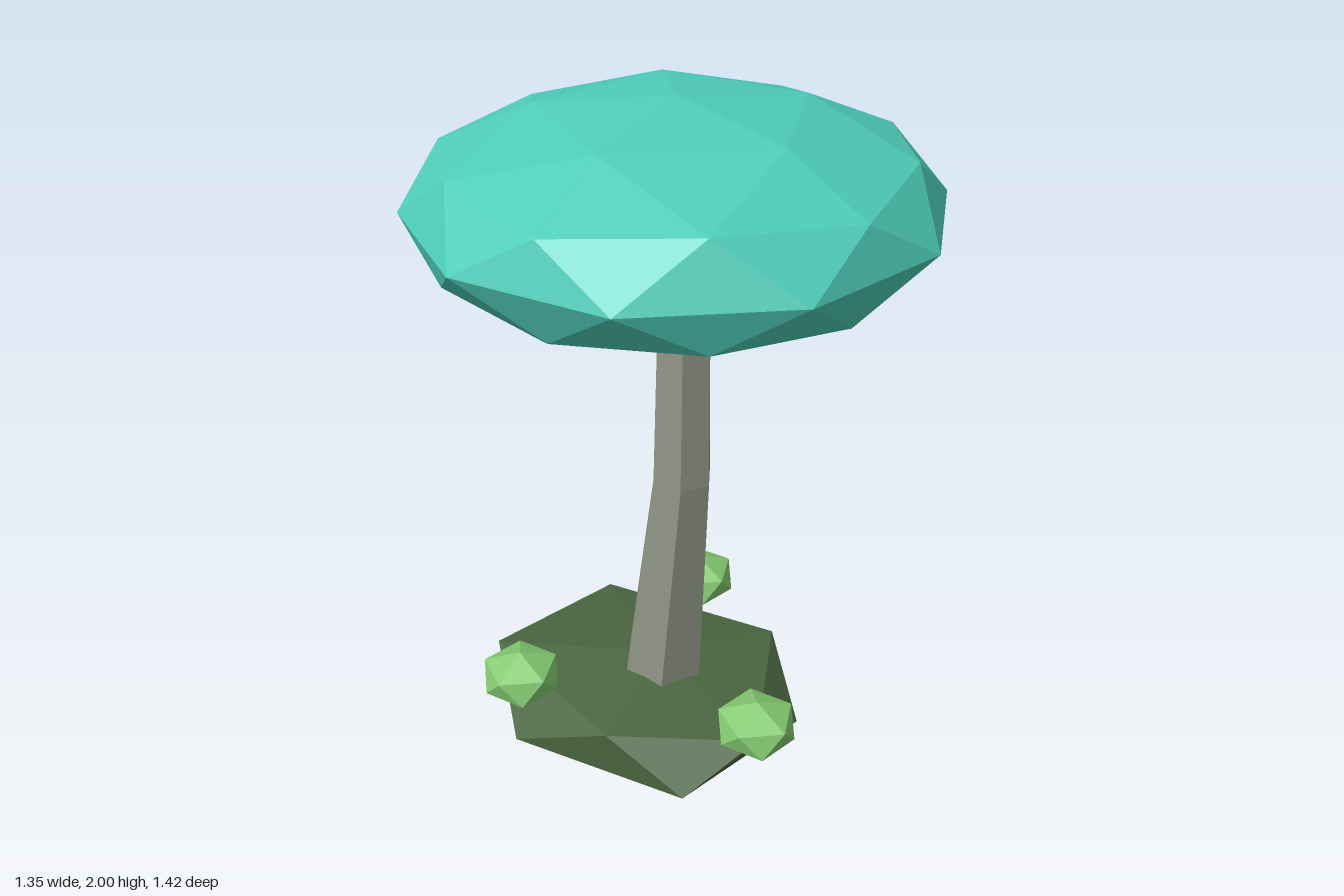
import * as THREE from 'three';

const flat = (name, color) => {
  const m = new THREE.MeshStandardMaterial({ color, flatShading: true });
  m.name = name;
  return m;
};

// Joins rings of points (bottom to top, angles running from +x to +z) and closes both ends with a fan.
function loft(rings, bottom, top) {
  const pos = [];
  const tri = (...pts) => pts.forEach((p) => pos.push(...p));
  const n = rings[0].length;
  for (let i = 0; i < n; i++) {
    const j = (i + 1) % n;
    for (let r = 0; r < rings.length - 1; r++) {
      const lo = rings[r], hi = rings[r + 1];
      tri(lo[i], hi[i], hi[j]);
      tri(lo[i], hi[j], lo[j]);
    }
    const last = rings[rings.length - 1];
    tri(bottom, rings[0][i], rings[0][j]);
    tri(top, last[j], last[i]);
  }
  const g = new THREE.BufferGeometry();
  g.setAttribute('position', new THREE.Float32BufferAttribute(pos, 3));
  g.computeVertexNormals();
  return g;
}

// Squashed icosahedron standing on a vertex, with an upper-ring vertex towards +x
function blob(rx, ry, rz, detail) {
  const g = new THREE.IcosahedronGeometry(1, detail);
  g.rotateX(-Math.atan((1 + Math.sqrt(5)) / 2));
  g.rotateY(Math.PI / 2);
  g.scale(rx, ry, rz);
  g.computeVertexNormals();
  return g;
}

export function createModel() {
  const model = new THREE.Group();
  model.name = 'tree';
  const teal = flat('teal leaves', 0x4ecdb9);
  const bark = flat('grey bark', 0x8e9384);
  const moss = flat('dark moss', 0x4a6640);
  const lime = flat('light green', 0x86cc72);

  const add = (name, geometry, material, x = 0, y = 0, z = 0) => {
    const mesh = new THREE.Mesh(geometry, material);
    mesh.name = name;
    mesh.position.set(x, y, z);
    model.add(mesh);
  };

  // Mossy mound: two staggered five-point rings between two tips
  const lower = [[0.36, 0.09, 0.31], [-0.17, 0.08, 0.51], [-0.51, 0.08, 0.13], [-0.18, 0.08, -0.32], [0.36, 0.09, -0.17]];
  const upper = [[0.42, 0.2, 0.07], [0.13, 0.23, 0.4], [-0.42, 0.24, 0.38], [-0.42, 0.23, -0.08], [0.12, 0.23, -0.3]];
  add('mound', loft([lower, upper], [-0.01, 0, 0.07], [0, 0.28, 0.07]), moss);

  // Bent six-sided trunk: centre x, y, z and radius of each ring
  const sections = [[0.01, 0.24, 0.067, 0.128], [0.057, 0.93, 0.035, 0.09], [0.024, 1.5, -0.004, 0.078]];
  const rings = sections.map(([x, y, z, r]) =>
    Array.from({ length: 6 }, (_, i) => {
      const a = Math.PI / 4 + (i * Math.PI) / 3;
      return [x + r * Math.cos(a), y, z + r * Math.sin(a)];
    }));
  add('trunk', loft(rings, sections[0].slice(0, 3), sections[2].slice(0, 3)), bark);

  // Wide flattened canopy
  add('canopy', blob(0.71, 0.275, 0.71, 1), teal, 0, 1.725, 0);

  // Three small bushes spaced evenly around the mound
  const bush = blob(0.126, 0.083, 0.126, 0);
  for (let i = 0; i < 3; i++) {
    const a = (i * 2 * Math.PI) / 3;
    add('bush' + (i + 1), bush, lime, -0.01 + 0.425 * Math.cos(a), 0.264, 0.07 + 0.425 * Math.sin(a));
  }
  return model;
}
